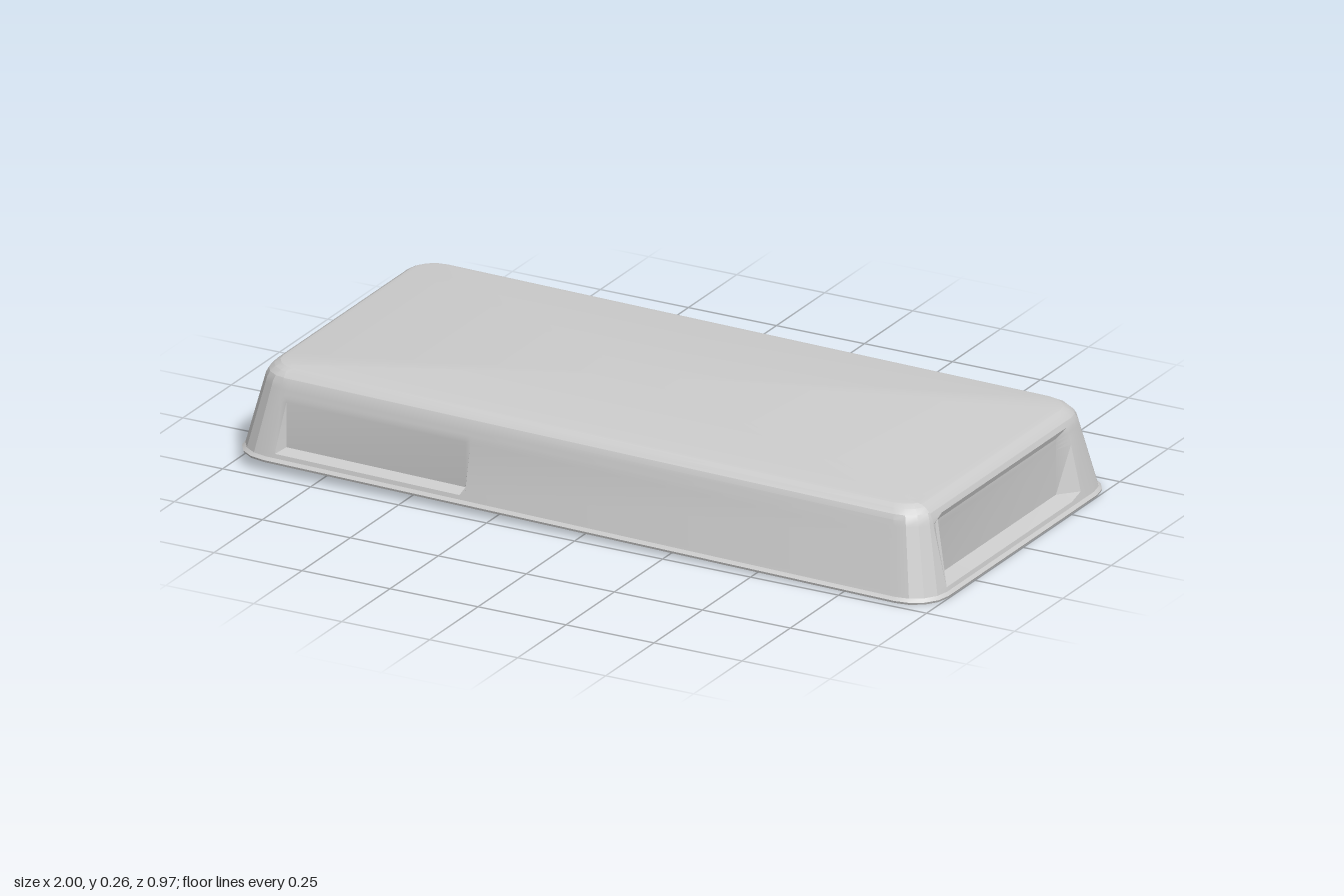
import * as THREE from 'three';
import { toCreasedNormals } from 'three/addons/utils/BufferGeometryUtils.js';

// Shallow recesses pressed into the side walls; splay is the width of their slanted sides
const RECESSES = [
  { axis: 'z', sign: 1, lo: -0.87, hi: -0.33, y0: 0.03, y1: 0.18, at: 0.442, splay: 0.015 },
  { axis: 'z', sign: -1, lo: -0.6, hi: -0.02, y0: 0.03, y1: 0.16, at: 0.445, splay: 0.015 },
  { axis: 'x', sign: 1, lo: -0.32, hi: 0.38, y0: 0.03, y1: 0.19, at: 0.945, splay: 0.05 },
  { axis: 'x', sign: -1, lo: -0.32, hi: 0.32, y0: 0.03, y1: 0.19, at: 0.945, splay: 0.05 },
];

// The whole block leans slightly: its -x end sits higher and is a little narrower
function lean(geo) {
  const p = geo.attributes.position;
  for (let i = 0; i < p.count; i++) {
    const s = 1 - p.getX(i);
    p.setY(i, p.getY(i) + 0.015 * s);
    p.setZ(i, p.getZ(i) * (1 - 0.01 * s));
  }
  geo.computeVertexNormals();
  return geo;
}

// Rounded rectangle in the xz plane, with extra points where recesses begin and end
function ring(x0, x1, z0, z1, r, y, segments, recesses = []) {
  const pts = [];
  const corners = [[x1 - r, z1 - r], [x0 + r, z1 - r], [x0 + r, z0 + r], [x1 - r, z0 + r]];
  const edges = [['z', 1], ['x', -1], ['z', -1], ['x', 1]];
  corners.forEach(([cx, cz], k) => {
    for (let i = 0; i <= segments; i++) {
      const t = (k + i / segments) * Math.PI / 2;
      pts.push(new THREE.Vector3(cx + r * Math.cos(t), y, cz + r * Math.sin(t)));
    }
    const [axis, sign] = edges[k];
    for (const c of recesses.filter(q => q.axis === axis && q.sign === sign)) {
      const along = [c.lo, c.lo + c.splay, c.hi - c.splay, c.hi];
      if (k < 2) along.reverse();
      along.forEach((s, i) => {
        const inside = (i === 1 || i === 2) && y > c.y0 && y < c.y1;
        const wall = axis === 'z' ? (sign > 0 ? z1 : -z0) : (sign > 0 ? x1 : -x0);
        const d = sign * (inside ? Math.min(wall, c.at) : wall);
        pts.push(axis === 'z' ? new THREE.Vector3(s, y, d) : new THREE.Vector3(d, y, s));
      });
    }
  });
  return pts;
}

// Skin over stacked rings, closed on top
function loft(rings) {
  const n = rings[0].length, pos = [], idx = [];
  rings.forEach(r => r.forEach(p => pos.push(p.x, p.y, p.z)));
  for (let j = 0; j < rings.length - 1; j++) {
    for (let i = 0; i < n; i++) {
      const a = j * n + i, b = j * n + (i + 1) % n;
      idx.push(a, a + n, b, b, a + n, b + n);
    }
  }
  const last = rings[rings.length - 1];
  const mid = last.reduce((s, p) => s.add(p), new THREE.Vector3()).divideScalar(n);
  const base = (rings.length - 1) * n;
  pos.push(mid.x, mid.y, mid.z);
  for (let i = 0; i < n; i++) idx.push(rings.length * n, base + (i + 1) % n, base + i);
  const geo = new THREE.BufferGeometry();
  geo.setAttribute('position', new THREE.Float32BufferAttribute(pos, 3));
  geo.setIndex(idx);
  return lean(geo);
}

export function createModel() {
  const group = new THREE.Group();
  const grey = new THREE.MeshStandardMaterial({ color: 0xcccccc });
  const thin = new THREE.MeshStandardMaterial({ color: 0xcccccc, side: THREE.DoubleSide, flatShading: true });
  const add = (name, geo, mat) => {
    const mesh = new THREE.Mesh(geo, mat);
    mesh.name = name;
    group.add(mesh);
  };

  // Outer shell: foot edge, drafted walls, bevelled shoulder, flat top
  const wallInset = y => 0.004 + 0.23 * y;
  const profile = [[0, 0.002], [0.006, 0]];
  for (const y of [0.014, 0.025, 0.035, 0.155, 0.165, 0.175, 0.185, 0.2]) profile.push([y, wallInset(y)]);
  profile.push([0.213, 0.056], [0.225, 0.067], [0.233, 0.08], [0.236, 0.095]);
  const shell = loft(profile.map(([y, d]) =>
    ring(-1 + d, 1 - d, -0.484 + d, 0.484 - d, 0.1 - 0.4 * d, y, 4, RECESSES)));
  add('outerShell', toCreasedNormals(shell, 0.3), grey);

  // Hollow cells: one full-width at the +x end, then two rows of three
  // (x range, z range, wall taper)
  const cells = [[0.55, 0.945, -0.44, 0.44, 0.035]];
  for (const [x0, x1] of [[0.09, 0.515], [-0.39, 0.055], [-0.945, -0.425]]) {
    cells.push([x0, x1, 0.018, 0.44, 0.055], [x0, x1, -0.44, -0.018, 0.055]);
  }

  // Bottom rim and ribs, pierced by the cell mouths
  const flat = pts => pts.map(p => new THREE.Vector2(p.x, p.z));
  const bottom = new THREE.Shape(flat(ring(-0.998, 0.998, -0.482, 0.482, 0.1, 0, 4)));
  for (const [x0, x1, z0, z1] of cells) {
    bottom.holes.push(new THREE.Path(flat(ring(x0, x1, z0, z1, 0.045, 0, 1))));
  }
  add('bottomRibs', lean(new THREE.ShapeGeometry(bottom).rotateX(Math.PI / 2)), thin);

  // Tapered cell walls and ceilings
  for (const [x0, x1, z0, z1, t] of cells) {
    add('hollowCell', loft([
      ring(x0, x1, z0, z1, 0.045, 0, 1),
      ring(x0 + t, x1 - t, z0 + t, z1 - t, 0.07, 0.2, 1),
    ]), thin);
  }
  return group;
}
